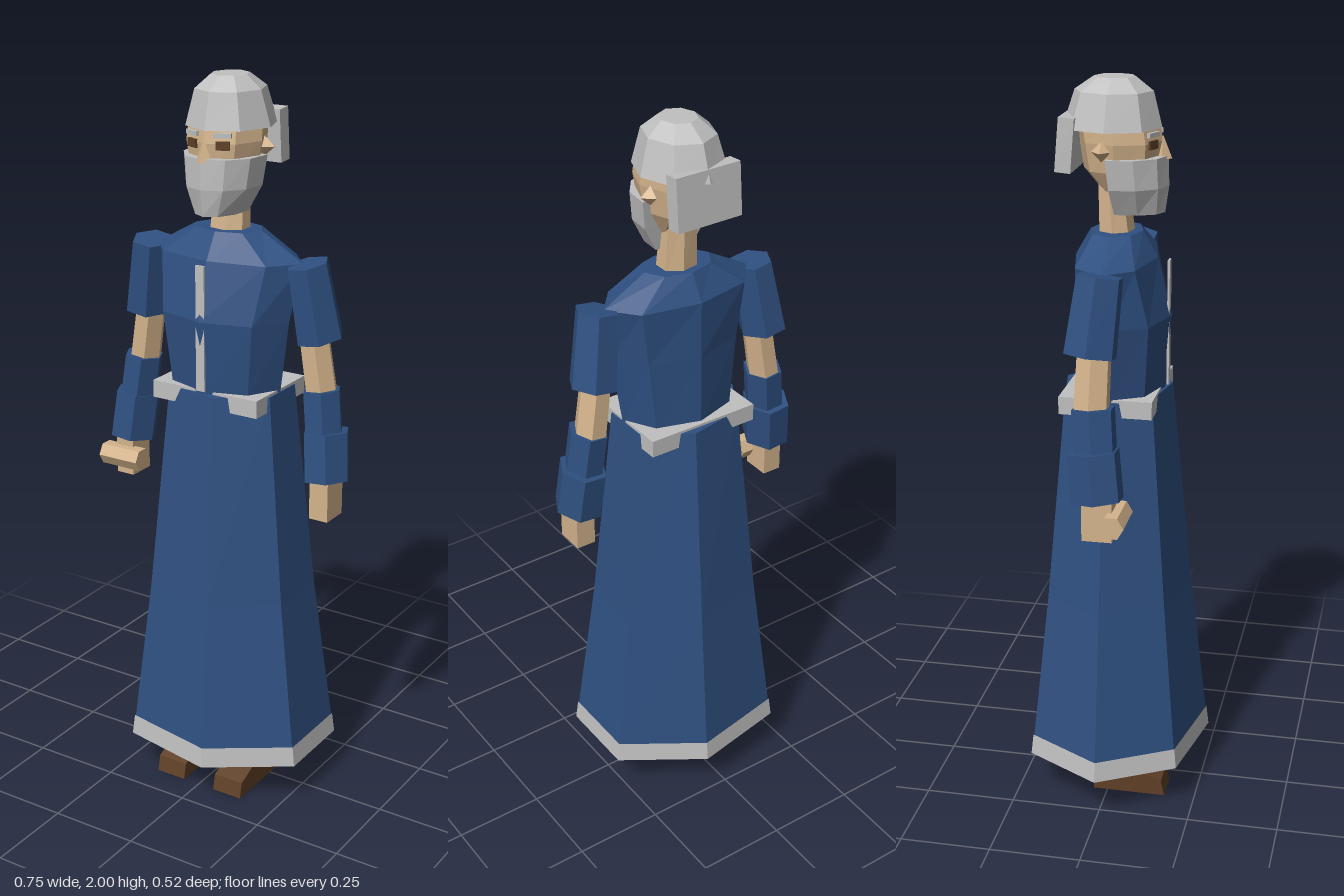
import * as THREE from 'three';

const mat = (name, color, side = THREE.FrontSide) =>
  Object.assign(new THREE.MeshStandardMaterial({ color, flatShading: true, side }), { name });

// Closed loft through horizontal rings [y, rx, rz, cx, cz], listed from bottom to top.
function loft(rings, angles, capBottom = true, capTop = true) {
  const n = angles.length, pos = [];
  const pt = ([y, rx, rz, cx = 0, cz = 0], i) =>
    [cx + rx * Math.sin(angles[i % n]), y, cz + rz * Math.cos(angles[i % n])];
  for (let r = 0; r < rings.length - 1; r++) {
    for (let i = 0; i < n; i++) {
      const a = pt(rings[r], i), b = pt(rings[r], i + 1);
      const c = pt(rings[r + 1], i + 1), d = pt(rings[r + 1], i);
      pos.push(...a, ...b, ...c, ...a, ...c, ...d);
    }
  }
  const top = rings[rings.length - 1], low = rings[0];
  for (let i = 1; i < n - 1; i++) {
    if (capTop) pos.push(...pt(top, 0), ...pt(top, i), ...pt(top, i + 1));
    if (capBottom) pos.push(...pt(low, 0), ...pt(low, i + 1), ...pt(low, i));
  }
  const g = new THREE.BufferGeometry();
  g.setAttribute('position', new THREE.Float32BufferAttribute(pos, 3));
  g.computeVertexNormals();
  return g;
}

const polygon = (n, start = 0) => Array.from({ length: n }, (_, i) => start + (i / n) * Math.PI * 2);

export function createModel() {
  const group = new THREE.Group();
  group.name = 'robedElder';
  const blue = mat('robe blue', 0x2f5081, THREE.DoubleSide);
  const grey = mat('hair and trim grey', 0xc0c0c0);
  const skin = mat('skin', 0xd4b48c);
  const brown = mat('shoe brown', 0x5f4027);

  const add = (name, geometry, material, x = 0, y = 0, z = 0) => {
    const m = new THREE.Mesh(geometry, material);
    m.name = name;
    m.position.set(x, y, z);
    group.add(m);
    return m;
  };
  const box = (name, w, h, d, material, x, y, z) =>
    add(name, new THREE.BoxGeometry(w, h, d), material, x, y, z);

  // Six-sided limb segment between two points, an outer corner pointing sideways
  const limb = (name, material, from, to, rTop, rLow, depth = 1.15) => {
    const a = new THREE.Vector3(...from), b = new THREE.Vector3(...to);
    const g = new THREE.CylinderGeometry(rTop, rLow, a.distanceTo(b), 6);
    g.rotateY(Math.PI / 6);
    g.scale(1, 1, depth);
    const m = add(name, g, material);
    m.position.copy(a).lerp(b, 0.5);
    m.quaternion.setFromUnitVectors(new THREE.Vector3(0, 1, 0), a.clone().sub(b).normalize());
  };

  const seven = polygon(7, -Math.PI / 2), eight = polygon(8);

  // Skirt, hem and belt
  add('skirt', loft([
    [0.13, 0.315, 0.262], [0.185, 0.307, 0.255], [0.6, 0.248, 0.207], [1.18, 0.185, 0.15],
  ], seven, false), blue);
  add('hem', loft([[0.128, 0.318, 0.265], [0.185, 0.31, 0.258]], seven, false, false), grey);
  box('belt', 0.325, 0.048, 0.25, grey, 0, 1.163, 0);

  // Robe body and front placket
  add('torso', loft([
    [1.17, 0.165, 0.122, 0, 0.01], [1.38, 0.195, 0.13, 0, 0.018],
    [1.535, 0.225, 0.11], [1.605, 0.1, 0.07],
  ], eight), blue);
  box('placket', 0.026, 0.34, 0.006, grey, 0, 1.36, 0.14);

  // Arms, legs and shoes
  const shoeShape = new THREE.Shape([
    [-0.04, 0], [0.165, 0], [0.155, 0.045], [0.02, 0.1], [-0.04, 0.1],
  ].map(p => new THREE.Vector2(...p)));
  const shoe = new THREE.ExtrudeGeometry(shoeShape, { depth: 0.09, bevelEnabled: false });
  shoe.translate(0, 0, -0.045);
  shoe.rotateY(-Math.PI / 2);
  for (const [side, s] of [['left', 1], ['right', -1]]) {
    limb(side + 'Sleeve', blue, [s * 0.24, 1.54, 0.005], [s * 0.27, 1.34, -0.015], 0.055, 0.063);
    limb(side + 'UpperArm', skin, [s * 0.246, 1.42, -0.005], [s * 0.283, 1.18, -0.01], 0.04, 0.043);
    limb(side + 'Forearm', blue, [s * 0.283, 1.205, -0.005], [s * 0.3, 1.06, 0.005], 0.052, 0.052);
    limb(side + 'Cuff', blue, [s * 0.301, 1.095, -0.002], [s * 0.313, 0.965, 0.012], 0.063, 0.063);
    box(side + 'Hand', 0.055, 0.13, 0.08, skin, s * 0.313, 0.925, 0.015);
    limb(side + 'Leg', skin, [s * 0.095, 0.9, -0.01], [s * 0.095, 0.08, -0.01], 0.06, 0.042, 1);
    add(side + 'Shoe', shoe, brown, s * 0.095, 0, 0);
  }
  // Short rod held across the right hand
  const rod = new THREE.CylinderGeometry(0.033, 0.033, 0.125, 6);
  rod.rotateZ(Math.PI / 2);
  add('heldRod', rod, skin, -0.313, 0.915, 0.06);

  // Neck and head
  add('neck', loft([[1.58, 0.058, 0.05, 0, 0], [1.76, 0.05, 0.038, 0, -0.014]], seven), skin);
  add('head', loft([
    [1.675, 0.05, 0.06, 0, 0.05], [1.765, 0.09, 0.1, 0, 0.012],
    [1.84, 0.104, 0.11, 0, 0.01], [1.9, 0.1, 0.11, 0, 0],
  ], eight), skin);

  // Beard wraps the lower face
  const frontArc = Array.from({ length: 7 }, (_, i) => (i - 3) * 0.58);
  add('beard', loft([
    [1.655, 0.062, 0.105, 0, 0.022], [1.725, 0.1, 0.12, 0, 0.017], [1.803, 0.11, 0.125, 0, 0.01],
  ], frontArc), grey);

  // Hair dome and square fall at the back
  add('hair', loft([
    [1.872, 0.116, 0.13, 0, -0.012], [1.965, 0.09, 0.103, 0, -0.008], [2, 0.049, 0.054, 0, -0.005],
  ], eight), grey);
  box('backHair', 0.19, 0.14, 0.042, grey, 0, 1.835, -0.118).rotation.x = 0.08;

  // Face details
  const nose = new THREE.ConeGeometry(0.024, 0.06, 4);
  add('nose', nose, skin, 0, 1.825, 0.12);
  for (const [side, s] of [['left', 1], ['right', -1]]) {
    box(side + 'Eye', 0.036, 0.022, 0.008, brown, s * 0.045, 1.836, 0.102).rotation.y = s * 0.41;
    box(side + 'Brow', 0.046, 0.012, 0.009, grey, s * 0.045, 1.862, 0.103).rotation.y = s * 0.41;
    const ear = add(side + 'Ear', new THREE.ConeGeometry(0.026, 0.03, 4), skin, s * 0.108, 1.822, -0.022);
    ear.rotation.z = -s * Math.PI / 2;
  }
  return group;
}
